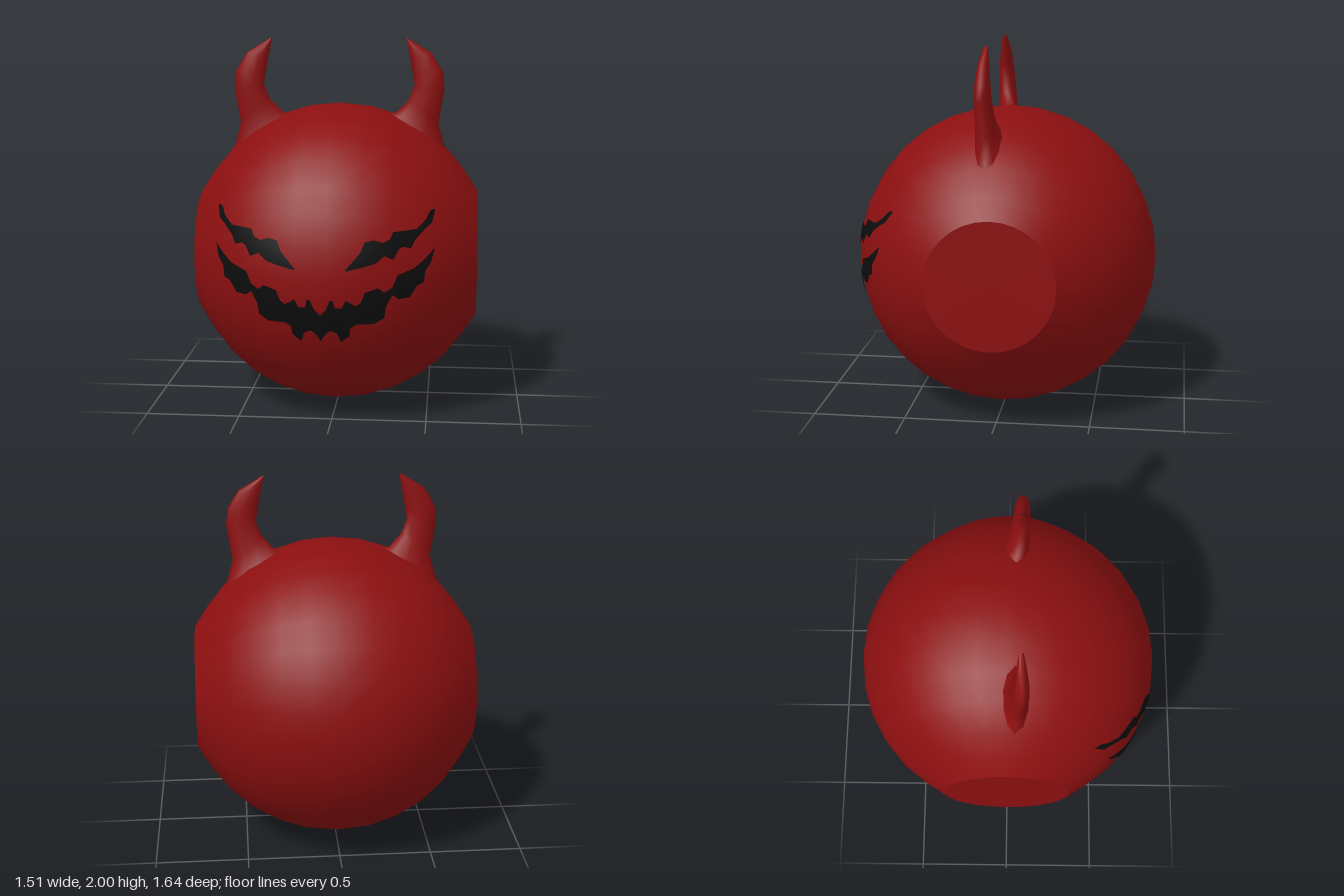
import * as THREE from 'three';

const R = 0.82, CY = 0.825, FACE_X = -0.03;

// Surface from equal-length rows of points; flip reverses the facing
function gridGeometry(rows, closed, flip) {
  const n = rows[0].length, idx = [];
  for (let i = 0; i < rows.length - 1; i++) {
    for (let j = 0; j < (closed ? n : n - 1); j++) {
      const k = (j + 1) % n;
      const a = i * n + j, b = i * n + k, c = (i + 1) * n + j, d = (i + 1) * n + k;
      if (flip) idx.push(a, b, c, b, d, c);
      else idx.push(a, c, b, b, c, d);
    }
  }
  const g = new THREE.BufferGeometry();
  g.setAttribute('position', new THREE.Float32BufferAttribute(rows.flat(2), 3));
  g.setIndex(idx);
  g.computeVertexNormals();
  return g;
}

// Height of a polyline [[x, y], ...] (x ascending) at x
function heightAt(line, x) {
  let i = 0;
  while (i < line.length - 2 && x > line[i + 1][0]) i++;
  const [x0, y0] = line[i], [x1, y1] = line[i + 1];
  return y0 + (y1 - y0) * THREE.MathUtils.clamp((x - x0) / (x1 - x0), 0, 1);
}

// Thin painted marking between two edges, wrapped onto the front of the ball
function marking(top, bottom, side) {
  const x0 = top[0][0], x1 = top[top.length - 1][0];
  const xs = [...top, ...bottom].map(p => p[0]);
  for (let i = 0; i <= 40; i++) xs.push(x0 + (x1 - x0) * i / 40);
  xs.sort((a, b) => a - b);
  const rows = xs.map(d => {
    const hi = heightAt(top, d), lo = heightAt(bottom, d), row = [];
    for (let j = 0; j <= 5; j++) {
      const x = FACE_X + side * d, y = lo + (hi - lo) * j / 5 - CY;
      row.push([x, y + CY, Math.sqrt((R + 0.004) ** 2 - x * x - y * y)]);
    }
    return row;
  });
  return gridGeometry(rows, false, side < 0);
}

// Horn cross-sections: outer x, y, inner x, y, half depth, centre z
const HORN = [
  [0.62, 1.34, 0.22, 1.56, 0.10, 0.03],
  [0.572, 1.42, 0.315, 1.60, 0.066, 0.045],
  [0.54, 1.54, 0.38, 1.67, 0.052, 0.058],
  [0.57, 1.73, 0.41, 1.75, 0.045, 0.068],
  [0.56, 1.82, 0.40, 1.81, 0.040, 0.070],
  [0.50, 1.92, 0.385, 1.89, 0.030, 0.070],
  [0.367, 2.0, 0.363, 1.995, 0.012, 0.068],
];

function horn(side) {
  const rows = HORN.map(([ox, oy, ix, iy, h, z]) => {
    const row = [];
    for (let j = 0; j < 10; j++) {
      const a = j / 10 * Math.PI * 2, c = Math.cos(a) / 2;
      row.push([side * ((ox + ix) / 2 + (ox - ix) * c), (oy + iy) / 2 + (oy - iy) * c, z + h * Math.sin(a)]);
    }
    return row;
  });
  return gridGeometry(rows, true, side < 0);
}

// Marking edges, measured outward from the middle of the face
const EYE_TOP = [[0.13, 0.89], [0.20, 0.97], [0.22, 1.02], [0.265, 1.03], [0.31, 1.015],
  [0.345, 1.03], [0.36, 1.065], [0.475, 1.07], [0.52, 1.11], [0.54, 1.15], [0.565, 1.155]];
const EYE_BOTTOM = [[0.13, 0.88], [0.22, 0.90], [0.275, 0.915], [0.32, 0.95], [0.365, 0.93],
  [0.39, 0.98], [0.41, 0.99], [0.45, 0.98], [0.47, 1.02], [0.52, 1.07], [0.55, 1.09], [0.565, 1.15]];
const MOUTH_TOP = [[0, 0.65], [0.03, 0.68], [0.05, 0.73], [0.065, 0.73], [0.075, 0.69],
  [0.11, 0.69], [0.13, 0.73], [0.18, 0.70], [0.205, 0.72], [0.225, 0.77], [0.29, 0.79],
  [0.32, 0.765], [0.36, 0.79], [0.385, 0.85], [0.47, 0.88], [0.52, 0.92], [0.565, 0.965]];
const MOUTH_BOTTOM = [[0, 0.505], [0.025, 0.545], [0.05, 0.565], [0.085, 0.55], [0.1, 0.50],
  [0.145, 0.535], [0.15, 0.58], [0.18, 0.60], [0.27, 0.60], [0.32, 0.63], [0.328, 0.69],
  [0.36, 0.75], [0.39, 0.725], [0.445, 0.73], [0.48, 0.785], [0.515, 0.80], [0.52, 0.855],
  [0.55, 0.90], [0.565, 0.96]];

export function createModel() {
  const group = new THREE.Group();
  const red = new THREE.MeshStandardMaterial({ color: 0x8c0f10 });
  red.name = 'deep red';
  const black = new THREE.MeshStandardMaterial({ color: 0x0d0d0d });
  black.name = 'black';
  const add = (geometry, material, name) => {
    const mesh = new THREE.Mesh(geometry, material);
    mesh.name = name;
    group.add(mesh);
    return mesh;
  };

  // Ball turned about the x axis, ending in flat sides
  const profile = [new THREE.Vector2(0.342, -0.757)];
  for (let k = -5; k <= 5; k++) {
    const a = k * Math.PI / 16;
    profile.push(new THREE.Vector2(R * Math.cos(a), R * Math.sin(a)));
  }
  profile.push(new THREE.Vector2(0.342, 0.757));
  const ball = new THREE.LatheGeometry(profile, 32);
  ball.rotateZ(Math.PI / 2);
  add(ball, red, 'ball').position.y = CY;

  for (const side of [1, -1]) {
    const label = side > 0 ? 'left' : 'right';
    const disc = add(new THREE.CircleGeometry(0.342, 32), red, label + 'FlatSide');
    disc.rotation.y = side * Math.PI / 2;
    disc.position.set(side * 0.757, CY, 0);
    add(horn(side), red, label + 'Horn');
    add(marking(EYE_TOP, EYE_BOTTOM, side), black, label + 'Eye');
    add(marking(MOUTH_TOP, MOUTH_BOTTOM, side), black, label + 'MouthHalf');
  }
  return group;
}
